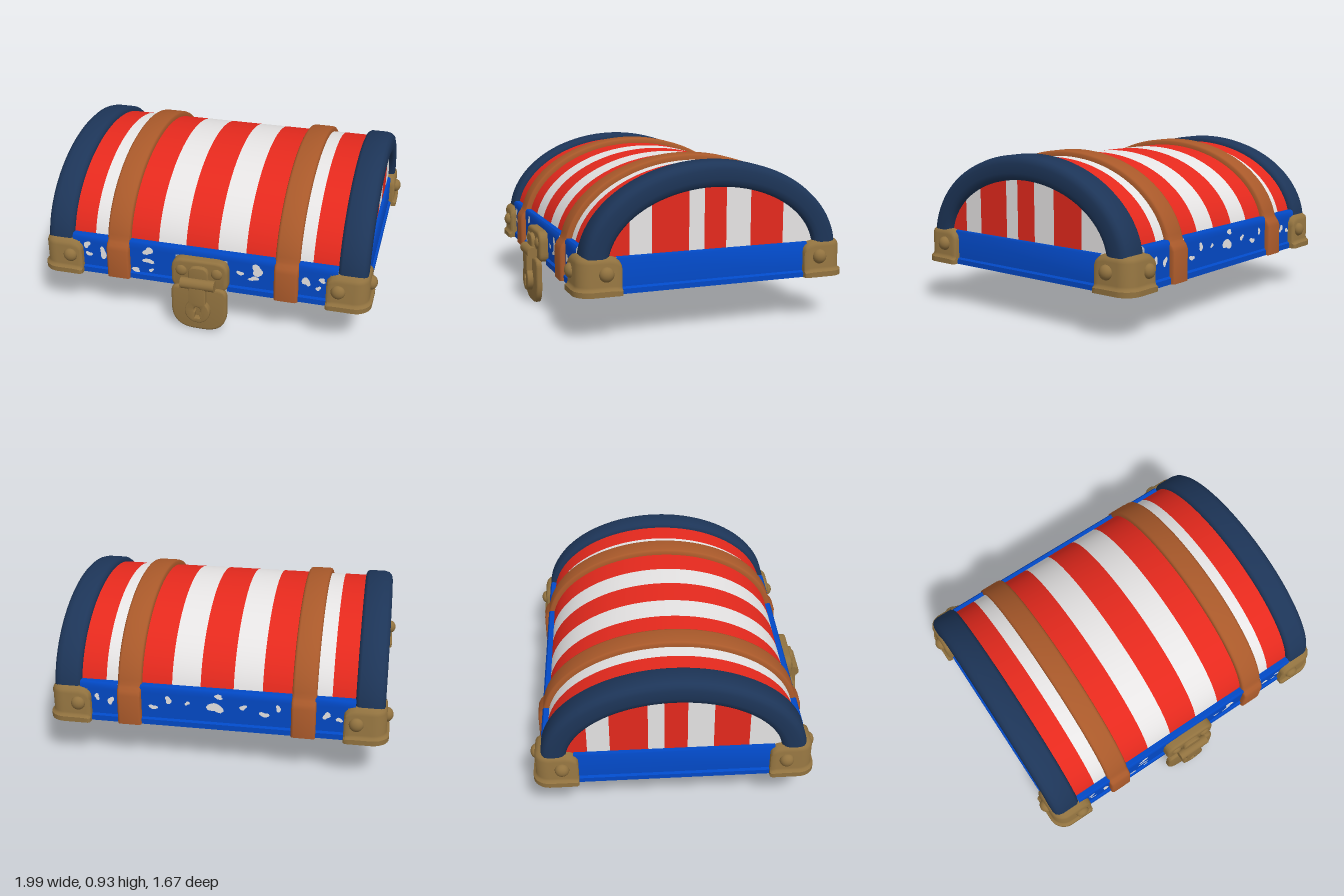
import * as THREE from 'three';
import { toCreasedNormals } from 'three/addons/utils/BufferGeometryUtils.js';

const paint = (name, color) => {
  const m = new THREE.MeshStandardMaterial({ color, side: THREE.DoubleSide });
  m.name = name;
  return m;
};

export function createModel() {
  const red = paint('red', 0xe5291d), white = paint('white', 0xe6e4e4), blue = paint('blue', 0x0249c6);
  const navy = paint('navy', 0x1d3558), leather = paint('leather', 0xa9592a), brass = paint('brass', 0x91723f);

  const add = (parent, name, geo, mat, x = 0, y = 0, z = 0) => {
    const mesh = new THREE.Mesh(geo, mat);
    mesh.name = name;
    mesh.position.set(x, y, z);
    parent.add(mesh);
    return mesh;
  };
  const group = (parent, name) => {
    const g = new THREE.Group();
    g.name = name;
    parent.add(g);
    return g;
  };

  // Open surface through rows of points
  const sheet = (rows) => {
    const n = rows[0].length, index = [];
    for (let r = 0; r < rows.length - 1; r++)
      for (let c = 0; c < n - 1; c++) {
        const a = r * n + c, d = a + n;
        index.push(a, a + 1, d, a + 1, d + 1, d);
      }
    const g = new THREE.BufferGeometry();
    g.setAttribute('position', new THREE.Float32BufferAttribute(rows.flat(2), 3));
    g.setIndex(index);
    return toCreasedNormals(g, 0.75);
  };

  // Section of [x, offset] points carried over the elliptical arch
  const CY = 0.4, A = 0.75, B = 0.53, STEPS = 56;
  const arch = (section, t0) => {
    const rows = [];
    for (let i = 0; i <= STEPS; i++) {
      const t = t0 + (Math.PI - 2 * t0) * i / STEPS;
      rows.push(section.map(([x, o]) => [x, CY + (B + o) * Math.sin(t), (A + o) * Math.cos(t)]));
    }
    return rows;
  };

  const model = new THREE.Group();
  const lid = group(model, 'chestLid');
  lid.position.z = -0.03;

  // Striped canvas dome, left open where the straps run
  const stripes = [
    [-0.8, -0.655, red], [-0.655, -0.57, white], [-0.435, -0.265, red], [-0.265, -0.1, white], [-0.1, 0.09, red],
    [0.09, 0.255, white], [0.255, 0.43, red], [0.565, 0.64, white], [0.64, 0.8, red],
  ];
  for (const [x0, x1, mat] of stripes)
    add(lid, 'domeStripe', sheet(arch([[x0, -0.032], [x1, -0.032]], 0.18)), mat);

  // Leather straps: raised channels that run down over the blue band
  for (const cx of [-0.502, 0.498]) {
    const section = [[-0.069, -0.035], [-0.069, -0.012], [-0.063, -0.003], [-0.053, 0], [0.053, 0], [0.063, -0.003],
      [0.069, -0.012], [0.069, -0.035]].map(([x, o]) => [x + cx, o]);
    const foot = (s) => [[0.25, 0.777], [0.43, 0.775], [0.455, 0.764], [0.473, 0.748]]
      .map(([y, z]) => section.map(([x, o]) => [x, y, s * (z + o)]));
    add(lid, 'strap', sheet([...foot(1), ...arch(section, 0.165), ...foot(-1).reverse()]), leather);
  }

  // Blue band along the front and back, with paint flecks [x, y, half width, half height]
  const frontFlecks = [
    [-0.7, 0.43, 0.02, 0.022], [-0.69, 0.37, 0.018, 0.016], [-0.6, 0.385, 0.022, 0.034], [-0.32, 0.44, 0.03, 0.024],
    [-0.32, 0.375, 0.03, 0.018], [-0.4, 0.305, 0.03, 0.014], [-0.305, 0.315, 0.014, 0.012], [0.23, 0.38, 0.018, 0.016],
    [0.33, 0.41, 0.036, 0.032], [0.31, 0.355, 0.03, 0.014], [0.61, 0.385, 0.02, 0.032], [0.7, 0.405, 0.022, 0.014],
    [0.68, 0.35, 0.014, 0.014],
  ];
  const backFlecks = [
    [-0.69, 0.4, 0.016, 0.018], [-0.61, 0.38, 0.018, 0.024], [-0.36, 0.36, 0.022, 0.016], [-0.27, 0.41, 0.022, 0.02],
    [-0.16, 0.4, 0.014, 0.012], [0, 0.385, 0.04, 0.034], [0.02, 0.455, 0.028, 0.013], [0.16, 0.4, 0.02, 0.016],
    [0.28, 0.365, 0.024, 0.018], [0.36, 0.41, 0.016, 0.018], [0.63, 0.39, 0.02, 0.022], [0.7, 0.37, 0.016, 0.016],
  ];
  const fleckShape = (w, h, k) => {
    const pts = [];
    for (let i = 0; i < 14; i++) {
      const a = i / 14 * Math.PI * 2, r = 1 + 0.28 * Math.sin(2 * a + k * 2.1) + 0.15 * Math.sin(3 * a + k);
      pts.push(new THREE.Vector2(w * r * Math.cos(a), h * r * Math.sin(a)));
    }
    return new THREE.ShapeGeometry(new THREE.Shape(pts));
  };
  const lowBand = [[0.25, 0.757], [0.282, 0.757], [0.292, 0.745], [0.445, 0.745]];
  const topBand = [[0.445, 0.745], [0.478, 0.745], [0.49, 0.735], [0.49, 0.702]];
  for (const side of [0, 1]) {
    const wall = group(lid, side ? 'backBand' : 'frontBand');
    wall.rotation.y = side * Math.PI;
    const strip = (profile, x0, x1) =>
      add(wall, 'bandPanel', sheet(profile.map(([y, z]) => [[x0, y, z], [x1, y, z]])), blue);
    for (const [x0, x1] of [[-0.788, -0.565], [-0.435, 0.435], [0.565, 0.788]]) strip(topBand, x0, x1);
    // the lower part stops at the corner caps, and behind the latch on the front
    const gaps = side ? [[-0.435, 0.435]] : [[-0.435, -0.155], [0.155, 0.435]];
    for (const [x0, x1] of [[-0.745, -0.565], ...gaps, [0.565, 0.745]]) strip(lowBand, x0, x1);
    (side ? backFlecks : frontFlecks).forEach(([x, y, w, h], k) => {
      for (const z of [0.748, 0.742]) add(wall, 'paintFleck', fleckShape(w, h, k + side * 5), white, x, y, z);
    });
  }

  // Ends: padded navy arch, striped panel and blue sill; the second end is the first turned round
  const PANEL = 0.912;
  const rim = [[0.785, -0.045], [0.785, -0.025], [0.79, -0.01], [0.805, 0], [0.9, 0], [0.927, -0.007], [0.943, -0.022],
    [0.949, -0.045], [0.949, -0.1], [0.943, -0.125], [0.93, -0.138], [PANEL - 0.005, -0.142]];
  const edges = [0.62, 0.487, 0.36, 0.147, 0.057, -0.073, -0.22, -0.42, -0.62];
  const sill = [[0.25, 0.944], [0.278, 0.944], [0.288, 0.932], [0.44, 0.932], [0.45, 0.926], [0.45, PANEL - 0.002]];
  for (const side of [0, 1]) {
    const end = group(lid, side ? 'rightEnd' : 'leftEnd');
    end.rotation.y = side * Math.PI;
    add(end, 'rimArch', sheet(arch(rim, 0.08)), navy);
    for (let i = 0; i < edges.length - 1; i++) {
      const low = [], high = [];
      for (let j = 0; j <= 8; j++) {
        const z = edges[i] + (edges[i + 1] - edges[i]) * j / 8;
        const top = CY + 0.4 * Math.sqrt(Math.max(0, 1 - (z / 0.62) ** 2));
        low.push([PANEL, Math.min(0.445, top), z]);
        high.push([PANEL, top, z]);
      }
      add(end, 'endStripe', sheet([low, high]), i % 2 ? white : red);
    }
    add(end, 'sideSill', sheet(sill.map(([y, x]) => [[x, y, 0.565], [x, y, -0.565]])), blue);
  }

  // Brass corner caps, wrapped round the corner in plan: [x, z, normal x, normal z, top height]
  const X = 0.962, Z = 0.782, R = 0.08;
  const plan = [[0.725, Z - 0.04, 0, 1, 0.415], [0.727, Z - 0.01, 0, 1, 0.42], [0.738, Z, 0, 1, 0.435],
    [0.76, Z, 0, 1, 0.452], [0.79, Z, 0, 1, 0.46]];
  for (let i = 0; i <= 8; i++) {
    const a = i / 8 * Math.PI / 2, s = Math.sin(a), c = Math.cos(a);
    plan.push([X - R + R * s, Z - R + R * c, s, c, 0.46]);
  }
  plan.push([X, 0.61, 1, 0, 0.46], [X, 0.575, 1, 0, 0.452], [X, 0.552, 1, 0, 0.435],
    [X - 0.008, 0.541, 1, 0, 0.42], [X - 0.032, 0.539, 1, 0, 0.415]);
  const capProfile = [[0, 0.017], [0.14, 0.017], [0.19, 0.004], [0.25, 0], [0.82, 0], [0.91, -0.007], [0.975, -0.024], [1, -0.064]];
  const capGeo = sheet(capProfile.map(([v, o]) => plan.map(([x, z, nx, nz, top]) =>
    [x + nx * o, 0.25 + (top - 0.25) * v, z + nz * o])));
  const rivetGeo = new THREE.SphereGeometry(0.041, 20, 12);
  for (const sx of [1, -1])
    for (const sz of [1, -1]) {
      const cap = group(lid, 'cornerCap');
      cap.scale.set(sx, 1, sz);
      add(cap, 'capPlate', capGeo, brass);
      add(cap, 'rivet', rivetGeo, brass, 0.795, 0.367, Z).scale.z = 0.75;
      add(cap, 'rivet', rivetGeo, brass, X, 0.367, 0.63).scale.x = 0.85;
    }

  // Latch: pressed plates with open backs, a hinge knuckle and a keyhole hasp
  const latch = group(lid, 'latch');
  const pressed = (shape, depth, bevel) => {
    const solid = new THREE.ExtrudeGeometry(shape, {
      depth: depth - bevel, bevelThickness: bevel, bevelSize: bevel, bevelOffset: -bevel, bevelSegments: 3, curveSegments: 14,
    });
    const p = solid.attributes.position.array, kept = [];
    for (let i = 0; i < p.length; i += 9)
      if (p[i + 2] + p[i + 5] + p[i + 8] > -1e-6) kept.push(...p.slice(i, i + 9));
    const open = new THREE.BufferGeometry();
    open.setAttribute('position', new THREE.Float32BufferAttribute(kept, 3));
    return toCreasedNormals(open, 0.6);
  };
  // Closed outline with rounded top and bottom corners
  const plate = (w, y0, y1, rb, rt) => {
    const s = new THREE.Shape();
    s.moveTo(-w + rb, y0).lineTo(w - rb, y0).quadraticCurveTo(w, y0, w, y0 + rb);
    s.lineTo(w, y1 - rt).quadraticCurveTo(w, y1, w - rt, y1);
    s.lineTo(-w + rt, y1).quadraticCurveTo(-w, y1, -w, y1 - rt);
    s.lineTo(-w, y0 + rb).quadraticCurveTo(-w, y0, -w + rb, y0);
    return s;
  };
  add(latch, 'latchPlate', pressed(plate(0.167, 0.265, 0.45, 0.05, 0.07), 0.055, 0.016), brass, 0, 0, 0.742);
  add(latch, 'latchTongue', pressed(plate(0.165, 0, 0.285, 0.14, 0.05), 0.033, 0.014), brass, 0, 0, 0.785);
  for (const s of [-1, 1]) add(latch, 'latchRivet', rivetGeo, brass, s * 0.105, 0.378, 0.792).scale.set(0.85, 0.85, 0.5);
  add(latch, 'latchStrap', pressed(plate(0.06, 0.3, 0.42, 0.01, 0.05), 0.03, 0.008), brass, 0, 0, 0.79);
  const knuckle = add(latch, 'hingeKnuckle', new THREE.CylinderGeometry(0.033, 0.033, 0.2, 20), brass, 0, 0.315, 0.824);
  knuckle.rotation.z = Math.PI / 2;

  const hasp = new THREE.Shape();
  hasp.moveTo(0.05, 0.32).lineTo(-0.05, 0.32).lineTo(-0.05, 0.198);
  hasp.absarc(0, 0.143, 0.074, 2.3, Math.PI * 2 + 0.84, false);
  hasp.lineTo(0.05, 0.32);
  const keyhole = new THREE.Path();
  keyhole.absarc(0, 0.155, 0.02, -0.9, Math.PI + 0.9, false);
  keyhole.lineTo(-0.017, 0.1).lineTo(0.017, 0.1);
  keyhole.closePath();
  hasp.holes.push(keyhole);
  add(latch, 'hasp', pressed(hasp, 0.036, 0.007), brass, 0, 0, 0.816);

  return model;
}
